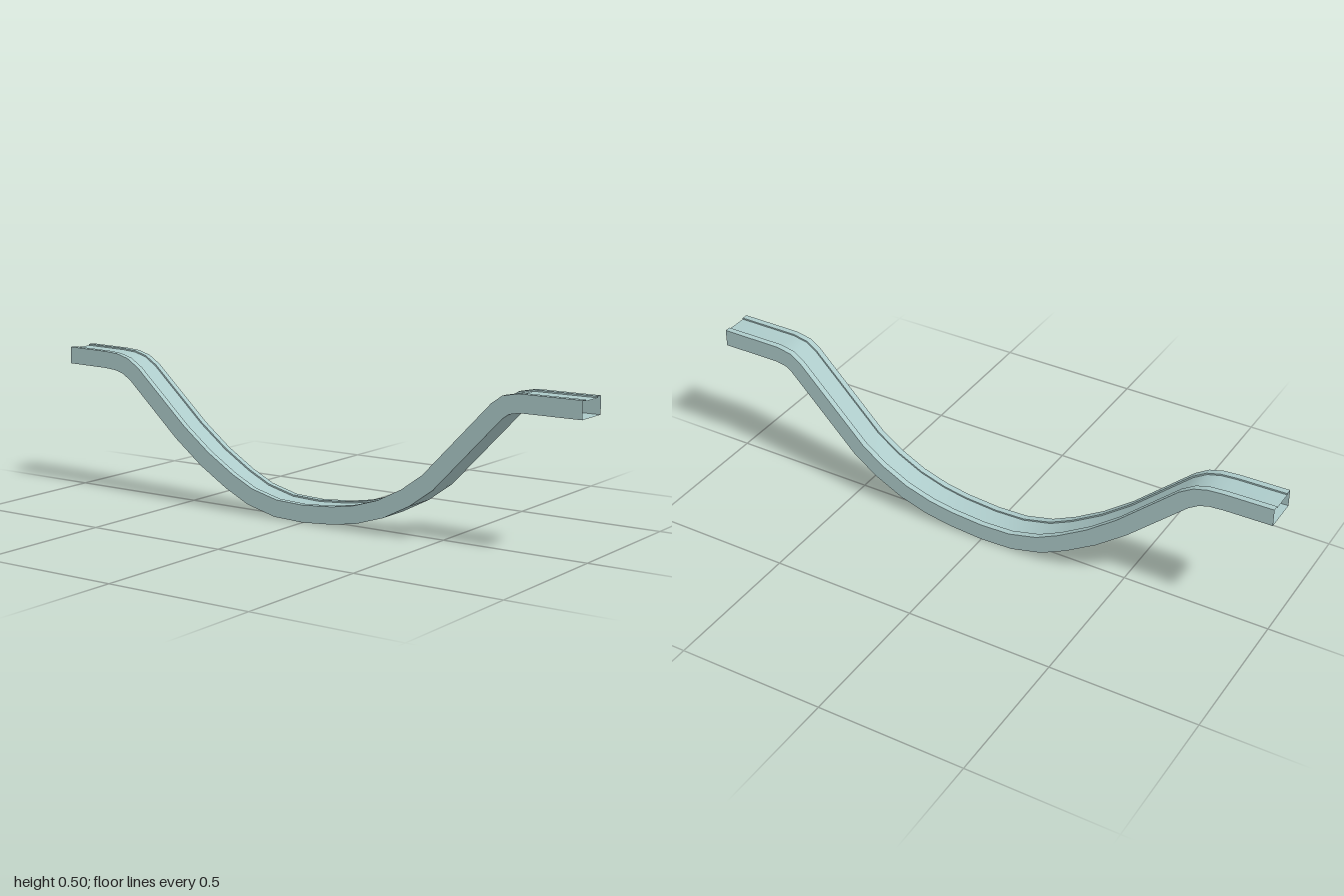
import * as THREE from 'three';

// Centreline of the channel as [z, y], front to back
const PATH = [
  [1, 0.471], [0.79, 0.471], [0.745, 0.462], [0.715, 0.441], [0.474, 0.192],
  [0.393, 0.134], [0.3, 0.086], [0.205, 0.056], [0.118, 0.041], [0, 0.032],
  [-0.11, 0.036], [-0.215, 0.062], [-0.3, 0.103], [-0.405, 0.167], [-0.51, 0.247],
  [-0.71, 0.428], [-0.75, 0.453], [-0.79, 0.464], [-0.84, 0.468], [-1, 0.471],
].map(([z, y]) => new THREE.Vector2(z, y));

const W = 0.058, H = 0.029, G = 0.037, D = 0.005;

// Mitred upward offset direction at each path point
function pathOffsets() {
  const normals = PATH.slice(1).map((p, i) => {
    const t = p.clone().sub(PATH[i]).normalize();
    return new THREE.Vector2(t.y, -t.x);
  });
  return PATH.map((_, i) => {
    if (i === 0 || i === PATH.length - 1) return new THREE.Vector2(0, 1);
    const m = normals[i - 1].clone().add(normals[i]).normalize();
    return m.divideScalar(m.dot(normals[i]));
  });
}

// Sweeps one straight edge of the cross-section along the path
function sweepEdge(a, b, offsets) {
  const positions = [], index = [];
  PATH.forEach((p, k) => {
    for (const [x, h] of [a, b]) {
      positions.push(x, p.y + offsets[k].y * h, p.x + offsets[k].x * h);
    }
    if (k > 0) {
      const i = 2 * (k - 1);
      index.push(i, i + 1, i + 3, i, i + 3, i + 2);
    }
  });
  const geometry = new THREE.BufferGeometry();
  geometry.setAttribute('position', new THREE.Float32BufferAttribute(positions, 3));
  geometry.setIndex(index);
  geometry.computeVertexNormals();
  return geometry;
}

export function createModel() {
  const group = new THREE.Group();
  group.name = 'curvedChannel';
  const paint = new THREE.MeshStandardMaterial({ color: 0xadcbca, side: THREE.DoubleSide });
  paint.name = 'pale teal';

  // Hollow cross-section, open at both ends, with a shallow groove on top
  const section = [
    ['rightRail', -W, H], ['rightGrooveWall', -G, H], ['grooveFloor', -G, H - D],
    ['leftGrooveWall', G, H - D], ['leftRail', G, H], ['leftSide', W, H],
    ['underside', W, -H], ['rightSide', -W, -H],
  ];
  const offsets = pathOffsets();
  section.forEach(([name, x, h], i) => {
    const [, nx, nh] = section[(i + 1) % section.length];
    const mesh = new THREE.Mesh(sweepEdge([x, h], [nx, nh], offsets), paint);
    mesh.name = name;
    group.add(mesh);
  });
  return group;
}
